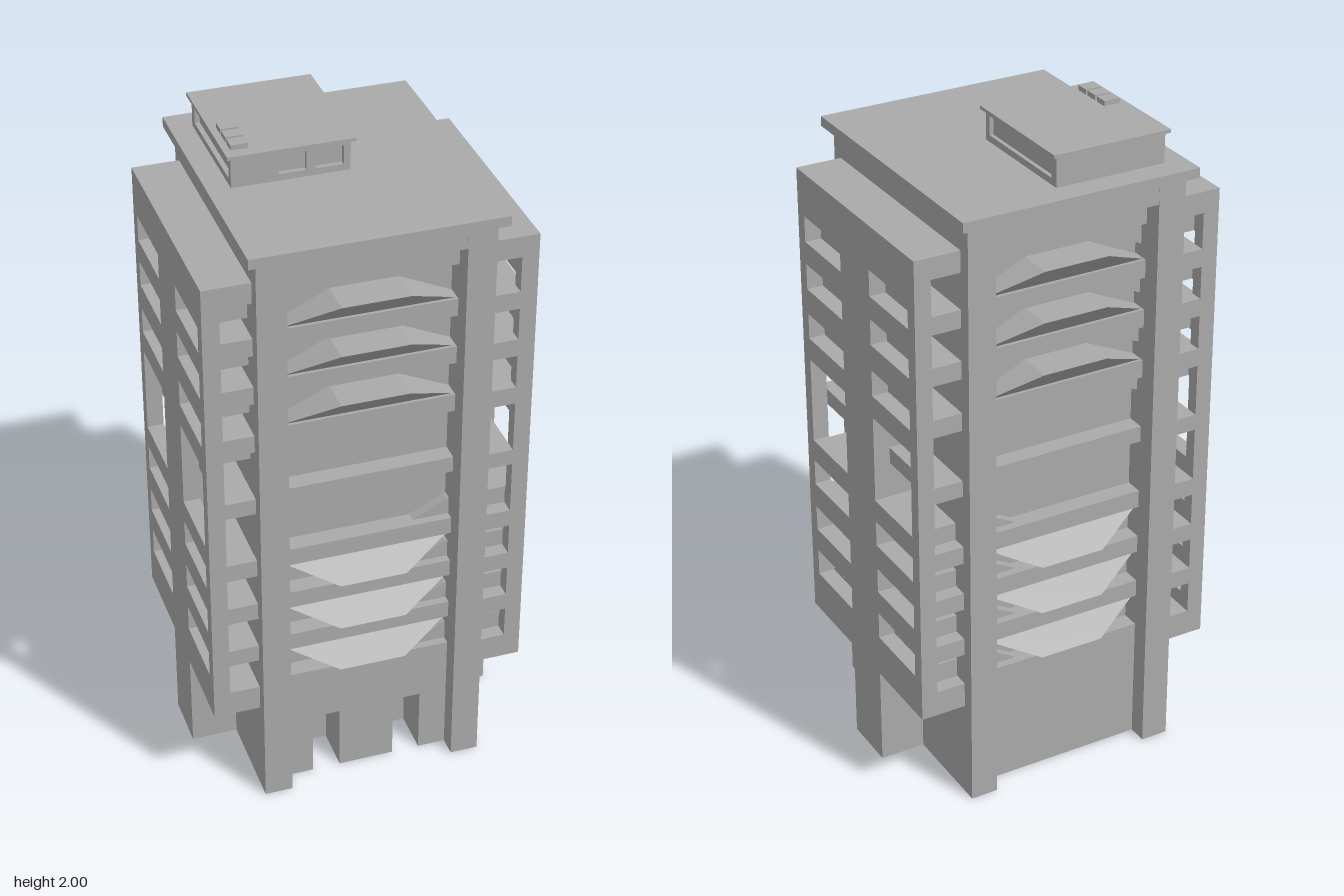
import * as THREE from 'three';
import { ConvexGeometry } from 'three/addons/geometries/ConvexGeometry.js';

export function createModel() {
  const tower = new THREE.Group();
  tower.name = 'tower';
  const concrete = new THREE.MeshStandardMaterial({ color: 0xaaaaaa });
  concrete.name = 'concrete grey';

  const add = (name, geometry) => {
    const mesh = new THREE.Mesh(geometry, concrete);
    mesh.name = name;
    tower.add(mesh);
    return mesh;
  };
  // Box given by its limits on each axis
  const box = (name, x0, x1, y0, y1, z0, z1) => {
    const mesh = add(name, new THREE.BoxGeometry(x1 - x0, y1 - y0, z1 - z0));
    mesh.position.set((x0 + x1) / 2, (y0 + y1) / 2, (z0 + z1) / 2);
    return mesh;
  };
  const rect = (path, [u0, u1, v0, v1]) =>
    path.moveTo(u0, v0).lineTo(u1, v0).lineTo(u1, v1).lineTo(u0, v1).closePath();
  // Flat panel with rectangular holes, extruded towards +z
  const panel = (outline, holes, depth) => {
    const shape = rect(new THREE.Shape(), outline);
    holes.forEach((h) => shape.holes.push(rect(new THREE.Path(), h)));
    return new THREE.ExtrudeGeometry(shape, { depth, bevelEnabled: false });
  };

  // Floor bands shared by the central bays and the wings
  const bands = [[0.31, 0.39], [0.49, 0.545], [0.645, 0.7], [0.8, 0.855], [1.02, 1.07],
    [1.23, 1.285], [1.39, 1.445], [1.545, 1.6], [1.71, 1.775]];
  const windowRows = [[0.44, 0.525], [0.6, 0.68], [0.76, 0.84], [0.91, 1.18],
    [1.25, 1.33], [1.41, 1.49], [1.56, 1.64]];

  // Central core, leaving a slit under the roof beam
  box('core', -0.257, 0.257, 0.31, 1.775, -0.28, 0.28);
  box('baseBack', -0.257, 0.257, 0, 0.31, -0.335, 0.2);
  for (const [y0, y1] of bands) box('floorBand', -0.257, 0.257, y0, y1, -0.335, 0.335);
  box('roofBeam', -0.257, 0.257, 1.79, 1.856, -0.394, 0.394);
  box('roofSlab', -0.367, 0.367, 1.855, 1.885, -0.42, 0.42);

  // Entrance wall with two doorways reaching the ground
  for (const [x0, x1] of [[-0.257, -0.17], [-0.085, 0.085], [0.17, 0.257]]) {
    box('entranceWall', x0, x1, 0, 0.21, 0.2, 0.335);
  }
  box('entranceLintel', -0.257, 0.257, 0.21, 0.31, 0.2, 0.335);

  // Slanted balcony visors: rising in the upper half, hanging in the lower half
  const visor = (y, dir, side) => {
    const points = [];
    for (const s of [-1, 1]) {
      points.push(
        new THREE.Vector3(s * 0.25, y, side * 0.325),
        new THREE.Vector3(s * 0.25, y, side * 0.275),
        new THREE.Vector3(s * 0.1, y + dir * 0.07, side * 0.39),
        new THREE.Vector3(s * 0.1, y + dir * 0.07, side * 0.275));
    }
    add('balconyVisor', new ConvexGeometry(points));
  };
  for (const side of [1, -1]) {
    for (const y of [1.285, 1.445, 1.6]) visor(y, 1, side);
    for (const y of [0.49, 0.645, 0.8]) visor(y, -1, side);
  }

  // Sloped ledges along one side of each bay, turned over between the halves
  const ledge = (y, dir, height) => {
    const s = -dir;
    const shape = new THREE.Shape([[0.145, 0], [0.25, height], [0.43, height], [0.43, 0]]
      .map(([x, dy]) => new THREE.Vector2(s * x, y - dir * dy)));
    const geometry = new THREE.ExtrudeGeometry(shape, { depth: 0.62, bevelEnabled: false });
    add('slopedLedge', geometry.translate(0, 0, -0.31));
  };
  for (const [y, h] of [[1.23, 0.05], [1.39, 0.055], [1.545, 0.055], [1.71, 0.07]]) ledge(y, 1, h);
  for (const [y, h] of [[0.855, 0.055], [0.7, 0.055], [0.545, 0.055], [0.39, 0.06]]) ledge(y, -1, h);

  // Side walls ending in the corner pillars, and the two wings
  const holes = [];
  for (const [y0, y1] of windowRows) holes.push([-0.315, -0.088, y0, y1], [0.088, 0.315, y0, y1]);
  for (const s of [-1, 1]) {
    const sideBox = (name, a, b, ...rest) =>
      box(name, Math.min(s * a, s * b), Math.max(s * a, s * b), ...rest);
    sideBox('sideWall', 0.255, 0.34, 0, 1.856, -0.395, 0.395);
    sideBox('wingPier', 0.335, 0.43, 0, 1.775, -0.086, 0.086);
    sideBox('wingPierFoot', 0.43, 0.48, 0, 0.31, -0.086, 0.086);
    for (const [y0, y1] of bands) sideBox('wingFloor', 0.335, 0.43, y0, y1, -0.355, 0.355);
    const wall = add('wingWall', panel([-0.355, 0.355, 0.31, 1.775], holes, 0.05));
    wall.rotation.y = Math.PI / 2;
    wall.position.x = s > 0 ? 0.43 : -0.48;
  }

  // Rooftop room with recessed windows
  box('roofRoom', -0.285, 0.03, 1.885, 1.975, -0.345, 0.025);
  const front = add('roomFrontWall', panel([-0.3, 0.042, 1.885, 1.975],
    [[-0.165, -0.085, 1.905, 1.962], [-0.06, 0.022, 1.905, 1.962]], 0.015));
  front.position.z = 0.025;
  for (const x of [-0.3, 0.027]) {
    const wall = add('roomSideWall', panel([-0.025, 0.345, 1.885, 1.975],
      [[-0.018, 0.318, 1.905, 1.962]], 0.015));
    wall.rotation.y = Math.PI / 2;
    wall.position.x = x;
  }
  box('roomRoof', -0.312, 0.055, 1.975, 1.985, -0.355, 0.05);
  for (const z of [-0.105, -0.056, -0.007]) {
    box('roofVent', -0.291, -0.241, 1.985, 2, z - 0.02, z + 0.02);
  }
  return tower;
}
